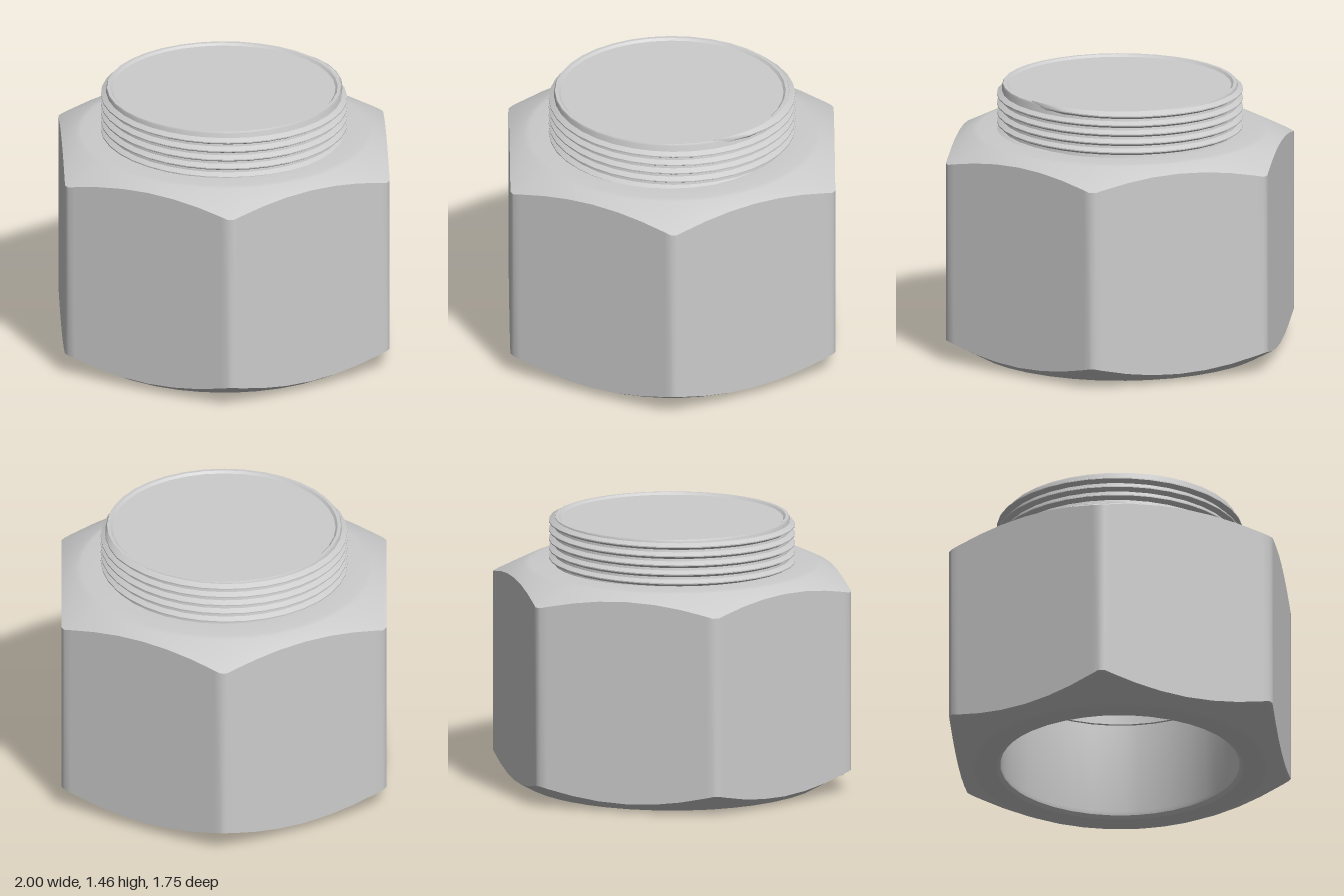
import * as THREE from 'three';
import { toCreasedNormals } from 'three/addons/utils/BufferGeometryUtils.js';

const DEG = Math.PI / 180;
const material = new THREE.MeshStandardMaterial({ color: 0xcccccc });

// Skin a grid of points: rows[i][j], each a [x, y, z]
function skin(rows, crease) {
  const n = rows[0].length;
  const index = [];
  for (let i = 0; i < rows.length - 1; i++) {
    for (let j = 0; j < n - 1; j++) {
      const a = i * n + j, b = a + 1, c = a + n, d = c + 1;
      index.push(a, b, c, b, d, c);
    }
  }
  const geo = new THREE.BufferGeometry();
  geo.setAttribute('position', new THREE.Float32BufferAttribute(rows.flat(2), 3));
  geo.setIndex(index);
  return toCreasedNormals(geo, crease);
}

function add(group, name, geometry) {
  const mesh = new THREE.Mesh(geometry, material);
  mesh.name = name;
  group.add(mesh);
}

// Hexagonal nut: rounded corners, conical chamfers that scallop each flat, open bore
function nutGeometry() {
  const angles = [];
  for (let k = 0; k < 6; k++) {
    for (const t of [0, 1, 3, 11, 20, 30, 40, 49, 57, 59]) angles.push(k * 60 + t);
  }
  angles.push(360);
  const profile = (R) => [
    [0.62, 1.205], [0.77, 1.205], [0.8, 1.2],
    [R, 1.2 - (R - 0.8) * 0.5],
    [R, 0.01 + (R - 0.8) * 0.55],
    [0.8, 0.01], [0.78, 0.004], [0.665, 0.004],
    [0.645, 0.02], [0.64, 0.04], [0.64, 0.56],
  ];
  const columns = angles.map((a) => {
    const R = Math.min(1, 0.874 / Math.cos(((a % 60) - 30) * DEG));
    return profile(R).map(([r, y]) => [r * Math.cos(a * DEG), y, r * Math.sin(a * DEG)]);
  });
  const rows = columns[0].map((_, i) => columns.map((c) => c[i]));
  return skin(rows, 0.6);
}

// Hollow shank closed by a slightly recessed cap
function shankGeometry() {
  const profile = [
    [0, 1.4], [0.625, 1.4], [0.625, 0.55], [0.645, 0.55], [0.635, 0.6],
    [0.635, 1.45], [0.63, 1.46], [0.612, 1.46], [0.6, 1.448], [0, 1.448],
  ].map(([r, y]) => new THREE.Vector2(r, y));
  return toCreasedNormals(new THREE.LatheGeometry(profile, 36), 0.6);
}

// Helical thread with a triangular section that fades out at both ends
function threadGeometry() {
  const pitch = 0.05, turns = 5.1, perTurn = 36, y0 = 1.19;
  const steps = Math.round(turns * perTurn);
  const section = [[0.63, 0.021], [0.663, 0.003], [0.663, -0.003], [0.63, -0.021]];
  const rows = section.map(([r, dy]) => {
    const row = [];
    for (let s = 0; s <= steps; s++) {
      const a = (s / perTurn) * Math.PI * 2;
      const fade = Math.min(1, s / 4, (steps - s) / 4);
      const radius = 0.63 + (r - 0.63) * fade;
      row.push([radius * Math.cos(a), y0 + (s / perTurn) * pitch + dy, radius * Math.sin(a)]);
    }
    return row;
  });
  return skin(rows, 0.5);
}

export function createModel() {
  const group = new THREE.Group();
  group.name = 'hexFitting';
  add(group, 'hexNut', nutGeometry());
  add(group, 'shank', shankGeometry());
  add(group, 'thread', threadGeometry());
  return group;
}
